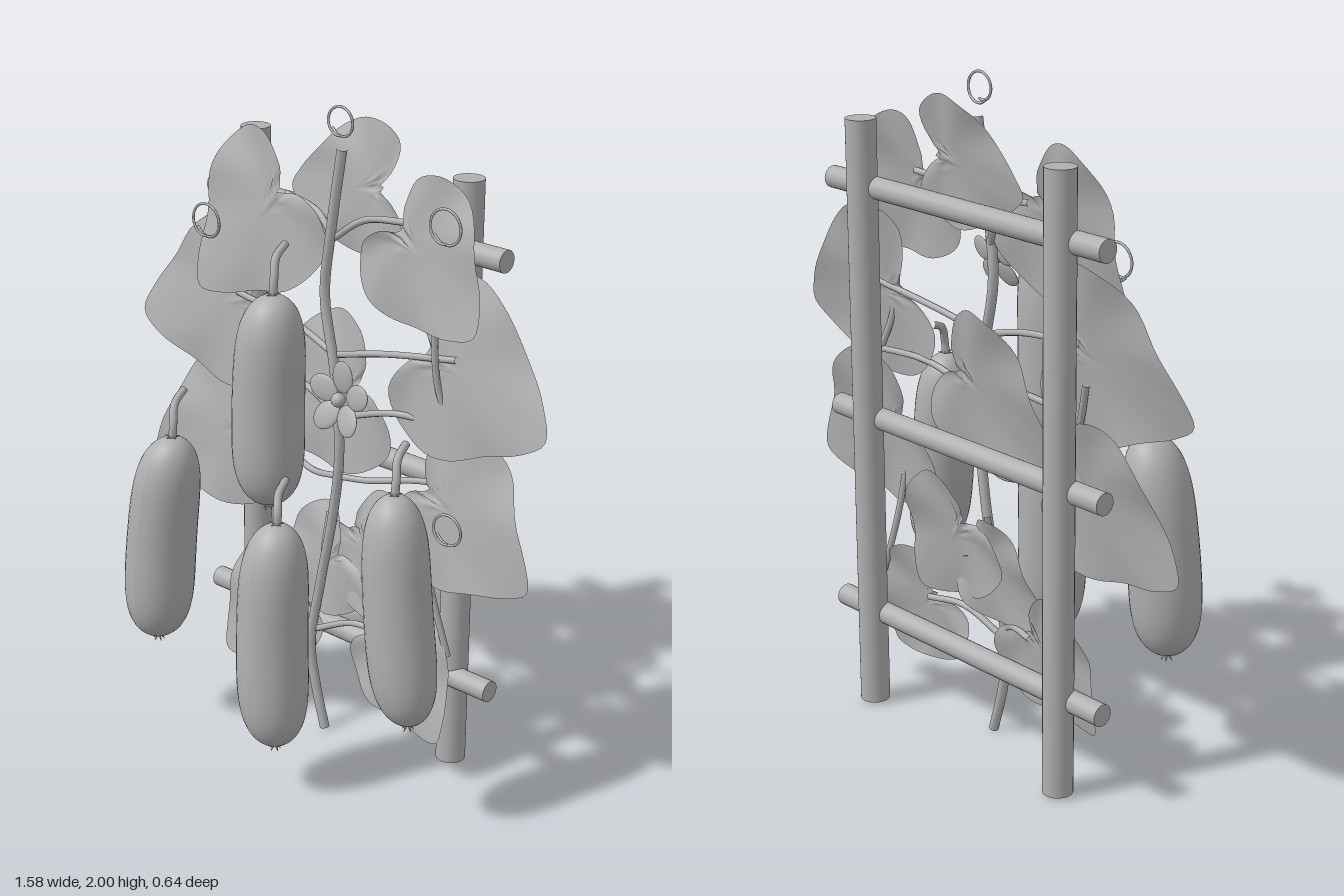
import * as THREE from 'three';

const clay = new THREE.MeshStandardMaterial({ color: 0xb0b0b0 });
clay.name = 'soft grey';
const clayThin = clay.clone();
clayThin.side = THREE.DoubleSide;

const V = (p) => new THREE.Vector3(...p);

function add(parent, name, geometry, material = clay) {
  const mesh = new THREE.Mesh(geometry, material);
  mesh.name = name;
  parent.add(mesh);
  return mesh;
}

function tube(parent, name, points, radius, segments = 24) {
  const curve = new THREE.CatmullRomCurve3(points.map(V));
  return add(parent, name, new THREE.TubeGeometry(curve, segments, radius, 8));
}

// Lobed leaf: half outline as [sideways, along], base notch to tip, unit length
const half = [[0.13, -0.09], [0.36, -0.15], [0.54, -0.03], [0.59, 0.2], [0.53, 0.43], [0.35, 0.65], [0.17, 0.88]];
const outline = new THREE.CatmullRomCurve3(
  [[0, 0.02], ...half, [0, 1], ...half.slice().reverse().map(([s, t]) => [-s, t])]
    .map(([s, t]) => new THREE.Vector3(s, t, 0)), true, 'centripetal');

function leafGeometry(base, tip, z, width, phase) {
  const around = 64, rings = 6, pos = [], index = [];
  const dx = tip[0] - base[0], dy = tip[1] - base[1];
  for (let r = 0; r <= rings; r++) {
    for (let i = 0; i < around; i++) {
      const o = outline.getPoint(i / around), k = r / rings;
      const s = o.x * k * width, t = 0.33 + (o.y - 0.33) * k;
      const angle = Math.atan2(s, t - 0.05);
      // folded midrib, rippled rim and a lean back towards the top
      const relief = 0.01 * Math.cos(angle * 6 + phase) * k * k - 0.04 * s * s;
      const y = t * dy + s * dx;
      pos.push(base[0] + t * dx - s * dy, base[1] + y, z + relief - 0.15 * (y - 0.4 * dy));
    }
  }
  for (let r = 0; r < rings; r++) {
    for (let i = 0; i < around; i++) {
      const a = r * around + i, b = r * around + (i + 1) % around;
      index.push(a, a + around, b, b, a + around, b + around);
    }
  }
  const g = new THREE.BufferGeometry();
  g.setAttribute('position', new THREE.Float32BufferAttribute(pos, 3));
  g.setIndex(index);
  g.computeVertexNormals();
  return g;
}

// Long fruit with a blunt rounded profile, curved stem, calyx and dried blossom
function fruit(parent, radius, top, bottom, bow, stemEnd) {
  const group = new THREE.Group();
  group.name = 'hangingFruit';
  const profile = [];
  for (let i = 0; i <= 36; i++) {
    const u = (1 - Math.cos((i / 36) * Math.PI)) / 2;
    const r = radius * Math.sqrt(Math.max(0, 1 - Math.abs(2 * u - 1) ** 4.5)) * (1.02 - 0.08 * u);
    profile.push(new THREE.Vector2(r, u));
  }
  const g = new THREE.LatheGeometry(profile, 32);
  const p = g.attributes.position, a = V(bottom), b = V(top), c = new THREE.Vector3();
  for (let i = 0; i < p.count; i++) {
    const u = p.getY(i);
    c.lerpVectors(a, b, u);
    p.setXYZ(i, p.getX(i) + c.x + bow * Math.sin(Math.PI * u), c.y, p.getZ(i) + c.z);
  }
  g.computeVertexNormals();
  add(group, 'fruitBody', g);

  const [x, y, z] = top, [ex, ey, ez] = stemEnd;
  tube(group, 'fruitStem', [[x, y - 0.01, z], [x, y + 0.04, z - 0.005],
    [(x + ex) / 2, ey - 0.025, z * 0.65 + ez * 0.35], [ex, ey, ez]], 0.012, 16);

  for (let i = 0; i < 5; i++) {
    const turn = (i / 5) * Math.PI * 2;
    const calyx = add(group, 'calyxPoint', new THREE.ConeGeometry(0.007, 0.025, 5));
    calyx.position.set(x + 0.012 * Math.sin(turn), y + 0.002, z + 0.012 * Math.cos(turn));
    calyx.rotation.set(Math.PI / 2, turn, 0, 'YXZ');
    const dried = add(group, 'driedBlossom', new THREE.ConeGeometry(0.007, 0.03, 5));
    dried.position.set(bottom[0] + 0.01 * Math.sin(turn), bottom[1] - 0.008, bottom[2] + 0.01 * Math.cos(turn));
    dried.rotation.set(Math.PI - 0.6, turn, 0, 'YXZ');
  }
  parent.add(group);
}

// Curling tendril: a single open loop with a short tail
function tendril(parent, x, y, z, radius) {
  const points = [];
  for (let i = 0; i <= 18; i++) {
    const a = -2 + (i / 18) * Math.PI * 2.25, r = radius * (1 - 0.008 * i);
    points.push([x + r * Math.cos(a), y + r * Math.sin(a), z + 0.001 * i - 0.01]);
  }
  points.unshift([x - radius * 0.9, y - radius * 0.6, z - 0.015]);
  tube(parent, 'tendril', points, 0.004, 60);
}

export function createModel() {
  const model = new THREE.Group();
  model.name = 'trellisWithClimbingVine';

  // Trellis
  for (const x of [-0.4, 0.41]) {
    add(model, 'post', new THREE.CylinderGeometry(0.045, 0.045, 1.82, 24)).position.set(x, 0.92, -0.27);
  }
  for (const y of [0.3, 0.93, 1.63]) {
    const rail = add(model, 'rail', new THREE.CylinderGeometry(0.033, 0.033, 1.12, 20));
    rail.rotation.z = Math.PI / 2;
    rail.position.set(0.005, y, -0.25);
  }

  // Main vine
  tube(model, 'mainVine', [[0.01, 0.005, -0.14], [-0.03, 0.15, -0.14], [-0.05, 0.28, -0.14],
    [-0.02, 0.5, -0.15], [0.03, 0.75, -0.15], [0.06, 0.95, -0.14], [0.04, 1.2, -0.14],
    [-0.01, 1.42, -0.15], [0.02, 1.62, -0.14], [0.06, 1.87, -0.14]], 0.015, 80);

  // Side shoots and leaf stalks
  const shoots = [
    [[0.02, 1.6], [-0.06, 1.66], [-0.2, 1.68]],
    [[0.02, 1.6], [0.12, 1.67], [0.27, 1.69]],
    [[0.0, 1.52], [-0.03, 1.58], [-0.04, 1.64]],
    [[0.03, 1.25], [-0.15, 1.3], [-0.4, 1.33]],
    [[0.03, 1.25], [0.2, 1.29], [0.45, 1.33]],
    [[0.05, 1.06], [-0.12, 1.12], [-0.36, 1.12]],
    [[0.05, 1.06], [0.25, 1.12], [0.46, 1.12]],
    [[0.05, 0.87], [-0.08, 0.85], [-0.25, 0.91], [-0.38, 0.93]],
    [[0.05, 0.87], [0.15, 0.88], [0.3, 0.92], [0.38, 0.93]],
    [[-0.04, 0.33], [-0.1, 0.39], [-0.2, 0.39]],
    [[-0.04, 0.33], [0.1, 0.39], [0.24, 0.38]],
    [[-0.33, 0.98], [-0.38, 1.1], [-0.42, 1.22]],
    [[0.4, 1.44], [0.4, 1.25], [0.44, 1.12]],
    [[0.37, 0.8], [0.4, 0.6], [0.45, 0.4]],
    [[-0.01, 0.55], [-0.02, 0.63], [-0.02, 0.72]],
  ];
  for (const path of shoots) {
    tube(model, 'sideShoot', path.map(([x, y], i) => [x, y, -0.15 - 0.02 * i]), 0.01);
  }

  // Leaves: base notch, tip, depth, width
  const leaves = [
    [[-0.19, 1.7], [-0.47, 1.36], -0.135, 0.96],
    [[0.26, 1.68], [0.56, 1.44], -0.14, 0.98],
    [[0.15, 1.76], [-0.2, 1.7], -0.21, 0.92],
    [[-0.34, 1.33], [-0.79, 1.19], -0.18, 0.96],
    [[0.34, 1.33], [0.79, 1.19], -0.18, 0.96],
    [[-0.36, 0.92], [-0.74, 0.72], -0.17, 0.98],
    [[0.36, 0.92], [0.75, 0.72], -0.17, 0.98],
    [[0.08, 1.15], [-0.28, 0.95], -0.195, 1.0],
    [[0.02, 0.59], [-0.23, 0.42], -0.185, 1.0],
    [[0.05, 0.69], [0.28, 0.41], -0.2, 0.96],
    [[-0.18, 0.41], [-0.41, 0.14], -0.155, 0.96],
    [[0.23, 0.39], [0.47, 0.14], -0.155, 0.95],
  ];
  leaves.forEach(([base, tip, z, width], i) =>
    add(model, 'leaf', leafGeometry(base, tip, z, width, i * 1.7), clayThin));

  // Hanging fruit: radius, top, bottom, sideways bow, stem end
  fruit(model, 0.107, [0.01, 1.49, 0.088], [0.0, 0.85, 0.095], -0.01, [-0.025, 1.61, 0.0]);
  fruit(model, 0.109, [-0.345, 0.975, 0.15], [-0.41, 0.3, 0.165], -0.015, [-0.385, 1.09, 0.06]);
  fruit(model, 0.107, [0.13, 0.86, 0.2], [0.145, 0.16, 0.225], -0.015, [0.09, 0.96, 0.12]);
  fruit(model, 0.1, [0.485, 1.03, 0.105], [0.565, 0.35, 0.122], -0.012, [0.45, 1.145, 0.02]);

  // Five-petalled flower
  const flower = new THREE.Group();
  flower.name = 'flower';
  for (let i = 0; i < 5; i++) {
    const turn = (i / 5) * Math.PI * 2;
    const petal = add(flower, 'petal', new THREE.SphereGeometry(1, 16, 12));
    petal.scale.set(0.036, 0.045, 0.008);
    petal.position.set(-0.062 * Math.sin(turn), 0.062 * Math.cos(turn), 0);
    petal.rotation.set(0.2, 0, turn, 'ZXY');
  }
  add(flower, 'flowerCentre', new THREE.SphereGeometry(0.02, 16, 12)).position.z = 0.005;
  flower.position.set(0.4, 1.325, 0.24);
  flower.rotation.x = -0.2;
  model.add(flower);

  // Tendrils
  tendril(model, 0.06, 1.951, -0.13, 0.045);
  tendril(model, 0.455, 1.735, -0.115, 0.054);
  tendril(model, -0.46, 1.56, -0.115, 0.054);
  tendril(model, 0.48, 0.84, -0.13, 0.05);

  return model;
}
